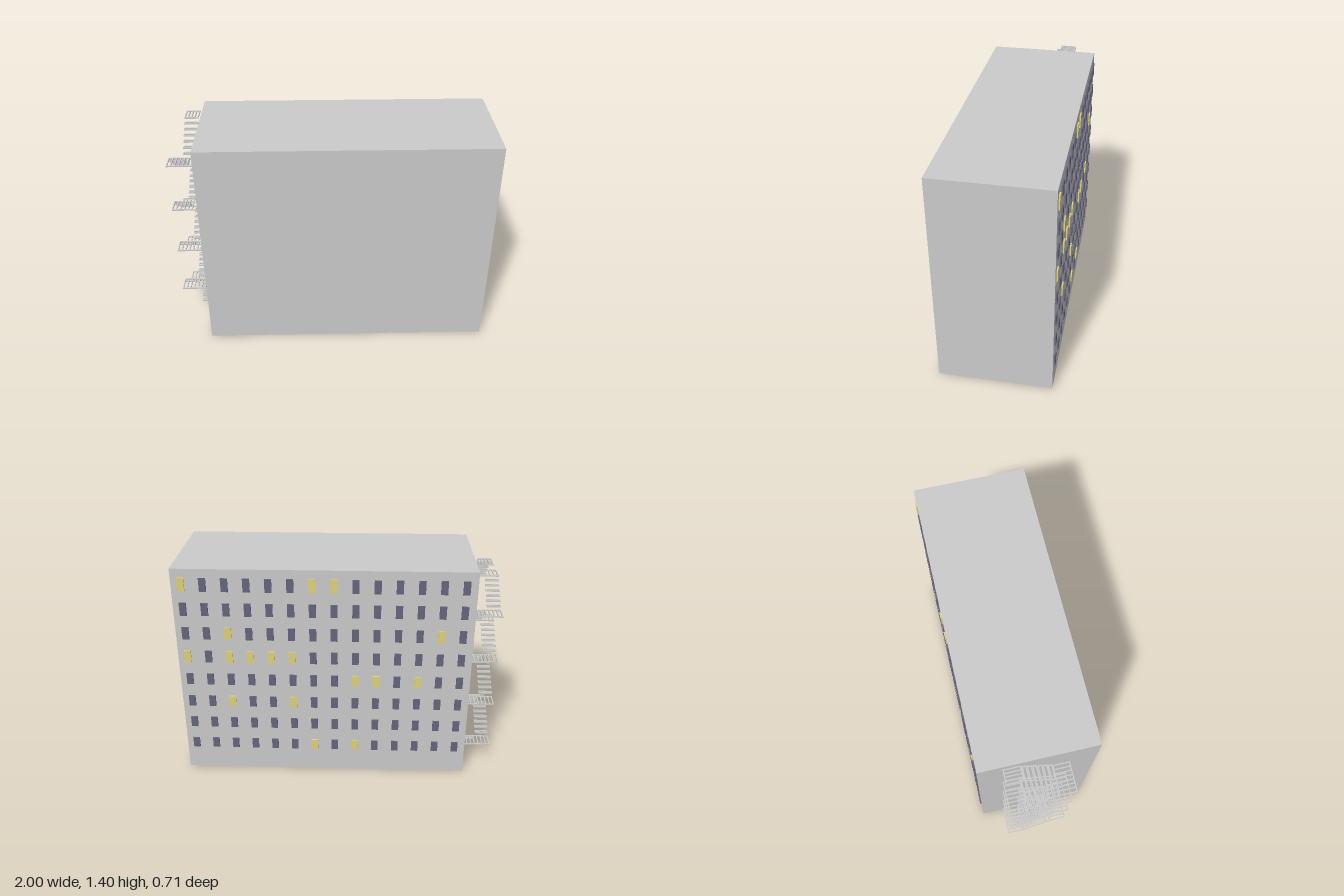
import * as THREE from 'three';

const mat = (color) => new THREE.MeshStandardMaterial({ color });
const grey = mat(0xcccccc), darkGlass = mat(0x666680), litGlass = mat(0xe0d478);

// Flat metal grate in the xz plane: a plate with parallel slots running along z (or along x)
function grate(width, depth, slots, alongX = false) {
  const rect = (path, x0, y0, x1, y1) =>
    path.moveTo(x0, y0).lineTo(x1, y0).lineTo(x1, y1).lineTo(x0, y1).closePath();
  const w = width / 2, d = depth / 2, bar = 0.007;
  const shape = rect(new THREE.Shape(), -w, -d, w, d);
  const across = alongX ? depth : width;
  const pitch = (across - bar) / slots;
  for (let i = 0; i < slots; i++) {
    const a = -across / 2 + bar + i * pitch, b = a + pitch - bar;
    shape.holes.push(alongX
      ? rect(new THREE.Path(), -w + bar, a, w - bar, b)
      : rect(new THREE.Path(), a, -d + bar, b, d - bar));
  }
  const geo = new THREE.ExtrudeGeometry(shape, { depth: 0.008, bevelEnabled: false });
  return geo.rotateX(-Math.PI / 2).translate(0, -0.004, 0);
}

function add(parent, name, geo, material, x, y, z) {
  const mesh = new THREE.Mesh(geo, material);
  mesh.name = name;
  mesh.position.set(x, y, z);
  parent.add(mesh);
}

export function createModel() {
  const model = new THREE.Group();
  model.name = 'apartmentBlock';
  add(model, 'building', new THREE.BoxGeometry(1.81, 1.4, 0.698), grey, 0.095, 0.7, 0.002);

  // Back windows: 8 rows of 14, some lit, slightly taller towards the top
  const windows = new THREE.Group();
  windows.name = 'windows';
  model.add(windows);
  const lit = [[0, 6, 7], [], [2, 12], [0, 2, 3, 4, 5], [8, 9, 11], [2, 5], [], [6, 8]];
  lit.forEach((litColumns, row) => {
    const pane = new THREE.BoxGeometry(0.042, 0.085 - row * 0.0022, 0.012);
    for (let col = 0; col < 14; col++) {
      const on = litColumns.includes(col);
      add(windows, on ? 'litWindow' : 'darkWindow', pane, on ? litGlass : darkGlass,
        0.94 - col * 0.1295, 1.302 - row * 0.1585, -0.349);
    }
  });

  // Fire escape: flights zigzag between a back and a front landing
  const escape = new THREE.Group();
  escape.name = 'fireEscape';
  model.add(escape);
  const landing = grate(0.178, 0.104, 7), topLanding = grate(0.087, 0.104, 4);
  const tread = grate(0.087, 0.027, 1, true);
  const rise = 0.1566, steps = 6;
  const level = (k) => (k === 8 ? 1.396 : 0.118 + k * rise);

  for (let k = 0; k <= 8; k++) {
    const atBack = k % 2 === 0, top = k === 8;
    add(escape, top ? 'topLanding' : 'landing', top ? topLanding : landing, grey,
      top ? -0.865 : -0.911, level(k), atBack ? -0.156 : 0.13);
    // Flight leading up to this landing: inner lane towards the back, outer lane towards the front
    const y0 = level(k - 1), y1 = level(k);
    for (let i = k === 0 ? 3 : 1; i <= steps; i++) {
      const t = (i - 0.5) / steps;
      add(escape, 'tread', tread, grey, atBack ? -0.865 : -0.9565,
        y0 + (y1 - y0) * i / (steps + 1), atBack ? 0.08 - t * 0.184 : -0.104 + t * 0.184);
    }
  }
  return model;
}
